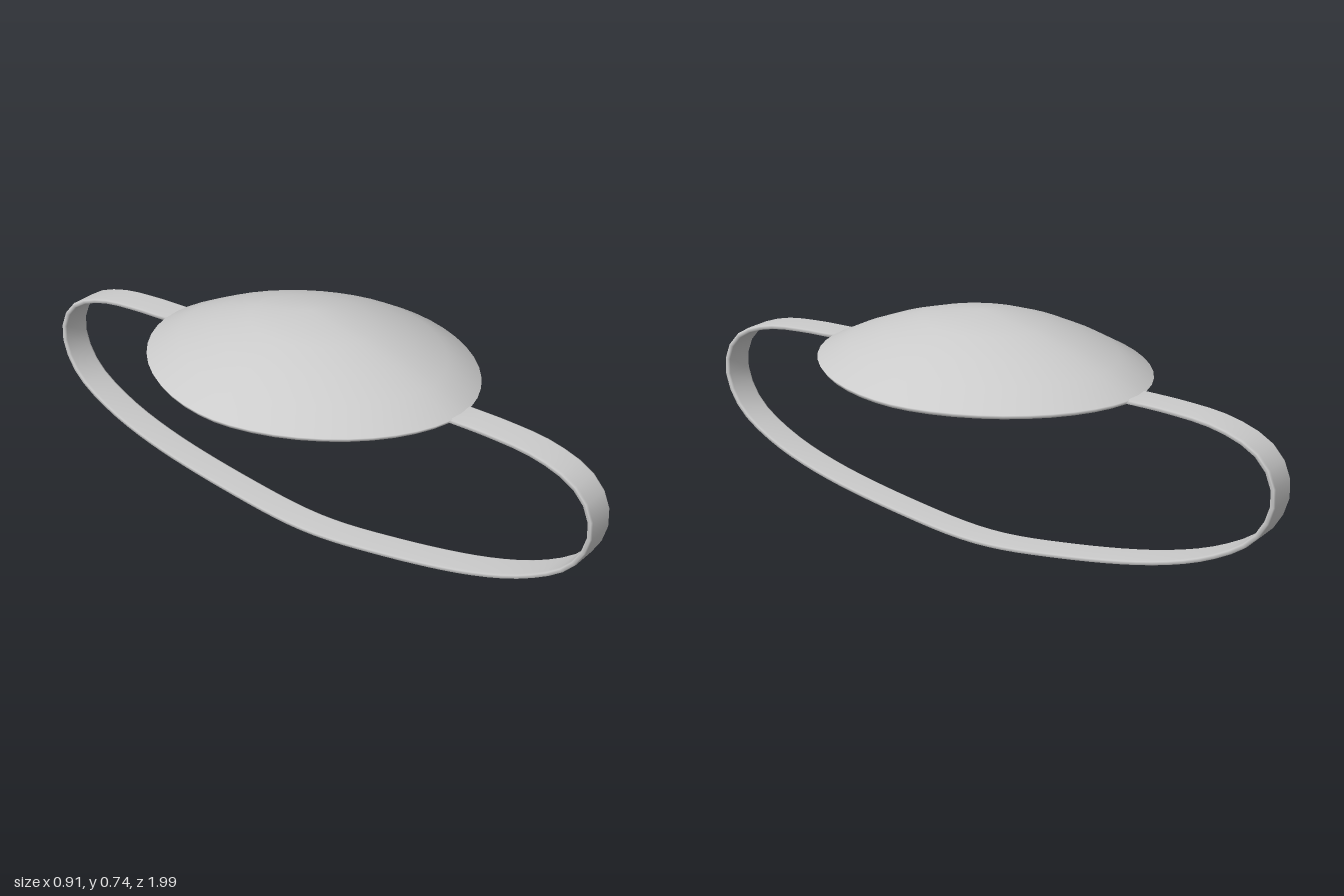
import * as THREE from 'three';
import { mergeVertices } from 'three/addons/utils/BufferGeometryUtils.js';

const material = new THREE.MeshStandardMaterial({ color: 0xcccccc, side: THREE.DoubleSide });

// Smooth skin over rows of points; every row is a closed ring
function skin(rows, name) {
  const n = rows[0].length, index = [];
  for (let i = 0; i < rows.length - 1; i++) {
    for (let j = 0; j < n; j++) {
      const a = i * n + j, b = i * n + (j + 1) % n;
      index.push(a, b, a + n, b, b + n, a + n);
    }
  }
  let geometry = new THREE.BufferGeometry();
  geometry.setAttribute('position', new THREE.Float32BufferAttribute(rows.flat(2), 3));
  geometry.setIndex(index);
  geometry = mergeVertices(geometry, 1e-5);
  geometry.computeVertexNormals();
  const mesh = new THREE.Mesh(geometry, material);
  mesh.name = name;
  return mesh;
}

// Shallow domed shell with a slightly pointed oval outline
function createPatch() {
  const power = 2 / 1.84, sides = 48;
  const bend = v => Math.sign(v) * Math.abs(v) ** power;
  // Profile as [fraction of the outline, height]: up side, rim, underside
  const profile = [
    [0, 0.74], [0.37, 0.708], [0.6, 0.671], [0.8, 0.629], [1, 0.577],
    [0.983, 0.564], [0.79, 0.615], [0.59, 0.657], [0.36, 0.695], [0, 0.726],
  ];
  const rows = profile.map(([r, y]) => Array.from({ length: sides }, (_, j) => {
    const a = j / sides * Math.PI * 2;
    return [0.455 * r * bend(Math.cos(a)), y, 0.538 * r * bend(Math.sin(a))];
  }));
  return skin(rows, 'domedPatch');
}

// Flat band looping from the front tip of the patch, underneath, to the back tip
function createBand() {
  const half = [
    [0.525, 0.571], [0.66, 0.568], [0.80, 0.554], [0.908, 0.517], [0.963, 0.47],
    [0.991, 0.39], [0.972, 0.305], [0.92, 0.235], [0.80, 0.161], [0.62, 0.098], [0.3, 0.037],
  ];
  const points = [
    ...half, [0, 0.008],
    ...half.slice().reverse().map(([z, y]) => [-z, y]),
  ].map(([z, y]) => new THREE.Vector3(0, y, z));
  const path = new THREE.CatmullRomCurve3(points);

  // Cross-section as [across, outward], with softened edges
  const section = [
    [0.05, 0.005], [0.043, 0.008], [-0.043, 0.008], [-0.05, 0.005],
    [-0.05, -0.005], [-0.043, -0.008], [0.043, -0.008], [0.05, -0.005],
  ];
  const steps = 64, rows = [];
  const addRow = (u, scale) => {
    const p = path.getPointAt(u), t = path.getTangentAt(u);
    rows.push(section.map(([x, n]) => [x * scale, p.y + t.z * n * scale, p.z - t.y * n * scale]));
  };
  addRow(0, 0);
  for (let i = 0; i <= steps; i++) addRow(i / steps, 1);
  addRow(1, 0);
  return skin(rows, 'headBand');
}

export function createModel() {
  const model = new THREE.Group();
  model.name = 'eyePatch';
  model.add(createPatch(), createBand());
  return model;
}
